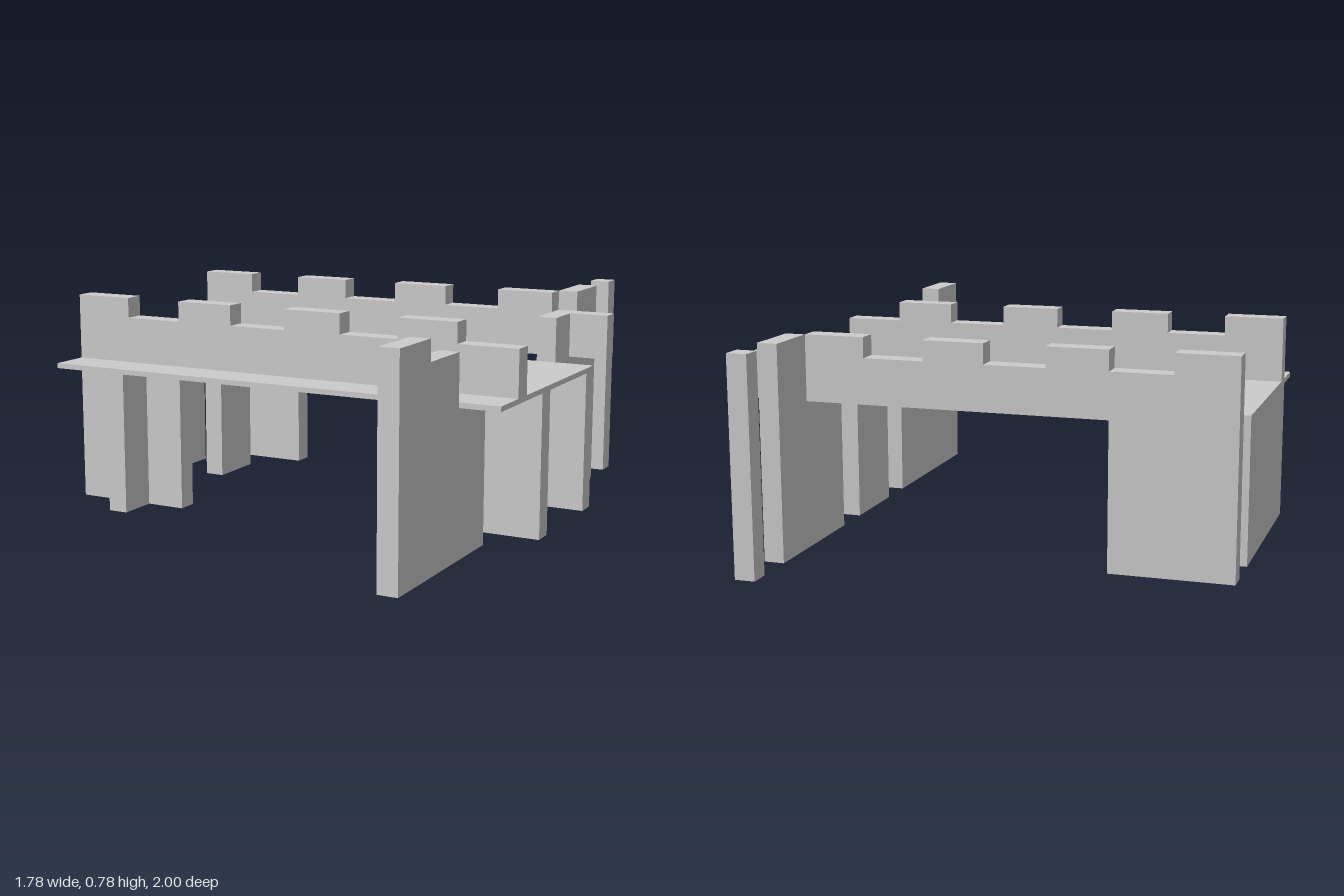
import * as THREE from 'three';

const U = 2 / 27; // one board thickness
const DECK_LOW = 7, DECK_TOP = 7.25, WALL = 9.5, MERLON = 10.5;

export function createModel() {
  const group = new THREE.Group();
  const material = new THREE.MeshStandardMaterial({ color: 0xcccccc, flatShading: true });

  const add = (name, geometry) => {
    geometry.scale(U, U, U);
    const mesh = new THREE.Mesh(geometry, material);
    mesh.name = name;
    group.add(mesh);
  };

  // Box given by its limits, in board thicknesses
  const board = (name, x0, x1, y0, y1, z0, z1) => {
    const g = new THREE.BoxGeometry(x1 - x0, y1 - y0, z1 - z0);
    g.translate((x0 + x1) / 2, (y0 + y1) / 2, (z0 + z1) / 2);
    add(name, g);
  };

  // Outline cut from a board one thickness deep
  const cutBoard = (points) => new THREE.ExtrudeGeometry(
    new THREE.Shape(points.map(([a, b]) => new THREE.Vector2(a, b))),
    { depth: 1, bevelEnabled: false });

  // Long battlement wall with a leg at its right-hand end (-x)
  const battlement = (name, z) => {
    const pts = [[-12, 0], [-6, 0], [-6, DECK_TOP], [12, DECK_TOP]];
    for (let i = 7; i >= 0; i--) {
      const y = i % 2 ? WALL : MERLON;
      pts.push([-12 + 3 * (i + 1), y], [-12 + 3 * i, y]);
    }
    const g = cutBoard(pts);
    g.translate(0, 0, z);
    add(name, g);
  };

  // Stepped board standing across the walls, outline in (z, y)
  const crossBoard = (name, points) => {
    const g = cutBoard(points.map(([z, y]) => [-z, y]));
    g.rotateY(Math.PI / 2);
    g.translate(9, 0, 0);
    add(name, g);
  };

  // Deck and the two battlement walls
  board('deck', -12, 12, DECK_LOW, DECK_TOP, -4.5, 7.5);
  battlement('frontBattlement', 4.5);
  battlement('backBattlement', -7.5);

  // Stepped wings on the left side (+x) and the free post behind them
  crossBoard('frontWing', [[13.5, 0], [4.5, 0], [4.5, DECK_LOW], [7.5, DECK_LOW],
    [7.5, WALL], [10.5, WALL], [10.5, MERLON], [13.5, MERLON]]);
  crossBoard('backWing', [[-4.5, 0], [-10.5, 0], [-10.5, MERLON], [-7.5, MERLON],
    [-7.5, WALL], [-4.5, WALL]]);
  board('backPost', 9, 10, 0, MERLON, -13.5, -12.5);

  // Supports under the left end of the deck (+x)
  board('leftMiddleSupport', 9, 12, 0, DECK_LOW, 1.5, 2.5);
  board('leftMiddleBrace', 9, 10, 0, DECK_LOW, -1.5, 1.5);
  board('leftBackSupport', 9, 12, 0, DECK_LOW, -4.5, -3.5);

  // Supports under the right end of the deck (-x)
  board('rightEndWall', -12, -11, 0, DECK_LOW, -4.5, 4.5);
  board('rightFrontBrace', -9, -8, 0, DECK_LOW, 5.5, 7.5);
  board('rightBackBrace', -9, -8, 0, DECK_LOW, -4.5, -1.5);

  return group;
}
